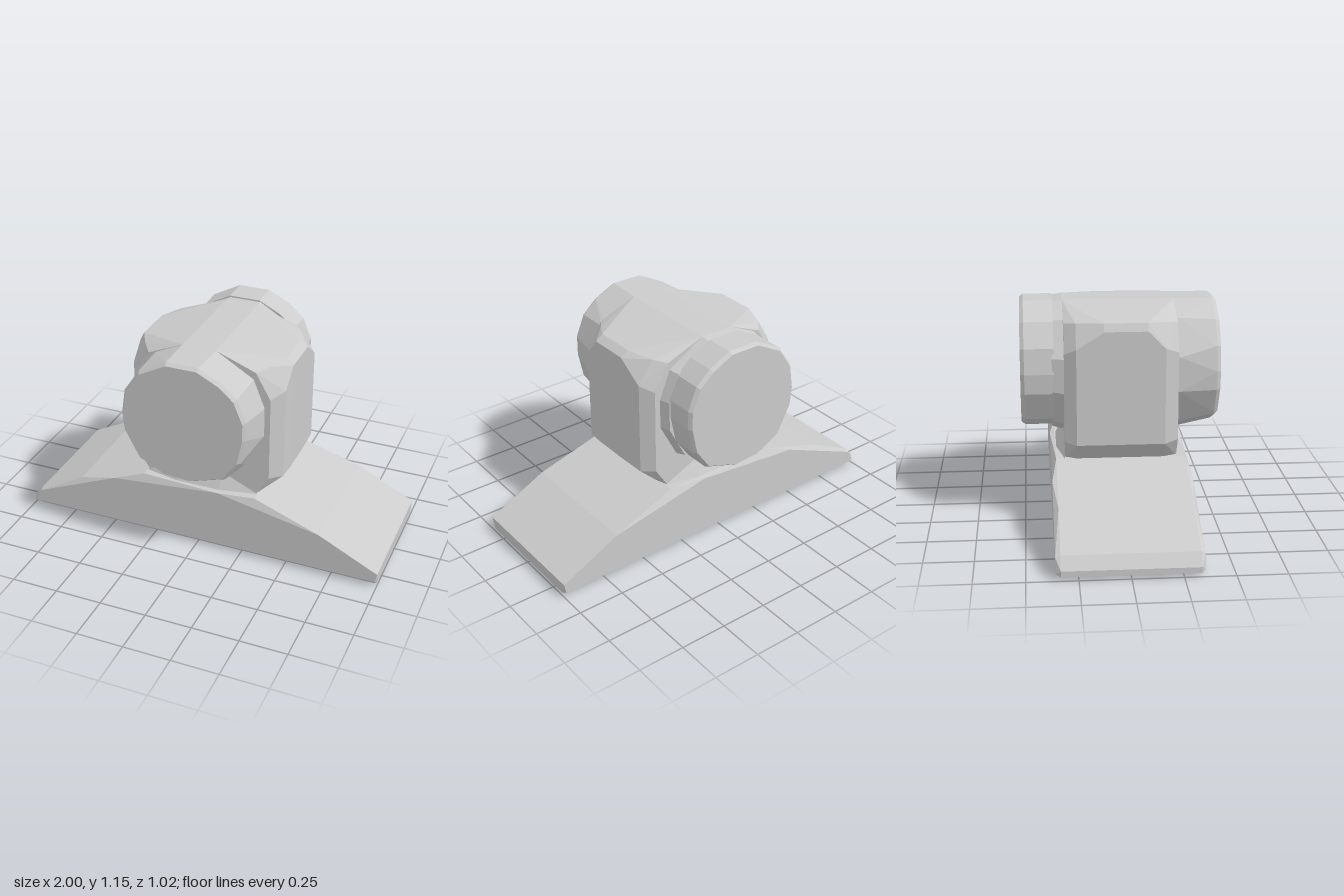
import * as THREE from 'three';
import { ConvexGeometry } from 'three/addons/geometries/ConvexGeometry.js';

const material = new THREE.MeshStandardMaterial({ color: 0xcccccc, flatShading: true });

// Faceted solid wrapped around a stack of [z, outline] sections
function facetedSolid(name, sections) {
  const points = [];
  for (const [z, outline] of sections) {
    for (const [x, y] of outline) points.push(new THREE.Vector3(x, y, z));
  }
  const mesh = new THREE.Mesh(new ConvexGeometry(points), material);
  mesh.name = name;
  return mesh;
}

// Scale an outline about a centre
const scaled = (outline, s, cx = 0, cy = 0.82) =>
  outline.map(([x, y]) => [cx + (x - cx) * s, cy + (y - cy) * s]);

export function createModel() {
  const group = new THREE.Group();
  group.name = 'mountedDrumUnit';

  // Base: long wedge-ended foot with a chamfered underside
  const baseTop = [[1, 0.02], [1, 0.08], [0.68, 0.24], [0.32, 0.36], [-0.31, 0.36],
    [-0.69, 0.24], [-0.95, 0.11], [-1, 0.05], [-1, 0.02]];
  const baseFront = [[0.99, 0.03], [1, 0.08], [0.68, 0.24], [0.12, 0.355],
    [-0.48, 0.3], [-0.95, 0.1], [-0.98, 0.03]];
  const sole = [[-0.95, 0], [0.98, 0]];
  group.add(facetedSolid('base', [
    [-0.36, baseFront], [-0.335, baseTop], [-0.325, sole],
    [0.325, sole], [0.335, baseTop], [0.355, baseFront],
  ]));

  // Neck: flared skirt between base and housing
  const flare = [[-0.12, 0.36], [0.12, 0.36]];
  const neckSide = [[-0.31, 0.36], [0.32, 0.36], [-0.12, 0.45], [0.12, 0.45]];
  group.add(facetedSolid('neck', [[-0.33, flare], [-0.29, neckSide], [0.29, neckSide], [0.33, flare]]));

  // Housing: block with chamfered corners, its shoulders dropping at front and back
  const housingMiddle = [[-0.31, 0.36], [0.33, 0.36], [0.44, 0.46], [0.44, 1.06], [0.4, 1.09],
    [0.09, 1.15], [-0.09, 1.15], [-0.38, 1.09], [-0.4, 1.05], [-0.4, 0.46]];
  const housingShoulder = [[-0.31, 0.36], [0.33, 0.36], [0.435, 0.46], [0.435, 0.96], [0.35, 1.08],
    [0.09, 1.15], [-0.09, 1.15], [-0.33, 1.08], [-0.4, 0.96], [-0.4, 0.46]];
  const housingEnd = [[-0.29, 0.36], [0.31, 0.36], [0.38, 0.47], [0.38, 0.93], [0.3, 1.07],
    [0.09, 1.15], [-0.09, 1.15], [-0.28, 1.07], [-0.36, 0.93], [-0.36, 0.47]];
  group.add(facetedSolid('housing', [
    [-0.29, housingEnd], [-0.23, housingShoulder], [-0.09, housingMiddle],
    [0.13, housingMiddle], [0.22, housingShoulder], [0.29, housingEnd],
  ]));

  // Drums: many-sided caps, widest near the housing with a bevelled outer rim
  const drum = [[-0.09, 1.15], [0.08, 1.15], [0.2, 1.09], [0.28, 1.02], [0.33, 0.9], [0.33, 0.8],
    [0.3, 0.66], [0.22, 0.55], [0.03, 0.49], [-0.11, 0.5], [-0.25, 0.57], [-0.33, 0.72],
    [-0.34, 0.82], [-0.32, 0.95], [-0.24, 1.07]];
  const drumRoot = [[-0.09, 1.15], [0.09, 1.15], [0.29, 1.03], [0.35, 0.88], [0.35, 0.72],
    [0.25, 0.53], [0.06, 0.44], [-0.03, 0.43], [-0.22, 0.52], [-0.35, 0.72], [-0.35, 0.9], [-0.24, 1.08]];
  group.add(facetedSolid('frontDrum', [
    [0.25, drumRoot], [0.3, drumRoot], [0.49, drum], [0.51, scaled(drum, 0.96)],
  ]));
  const backDrum = drum.map(([x, y]) => [x, y < 0.82 ? 0.82 + (y - 0.82) * 1.04 : y]);
  group.add(facetedSolid('backDrum', [
    [-0.34, backDrum], [-0.49, backDrum], [-0.51, scaled(backDrum, 0.96)],
  ]));

  // Collar: short ring between housing and back drum
  group.add(facetedSolid('backCollar', [[-0.25, drumRoot], [-0.29, drumRoot], [-0.35, scaled(drumRoot, 0.96, 0, 0.9)]]));

  return group;
}
